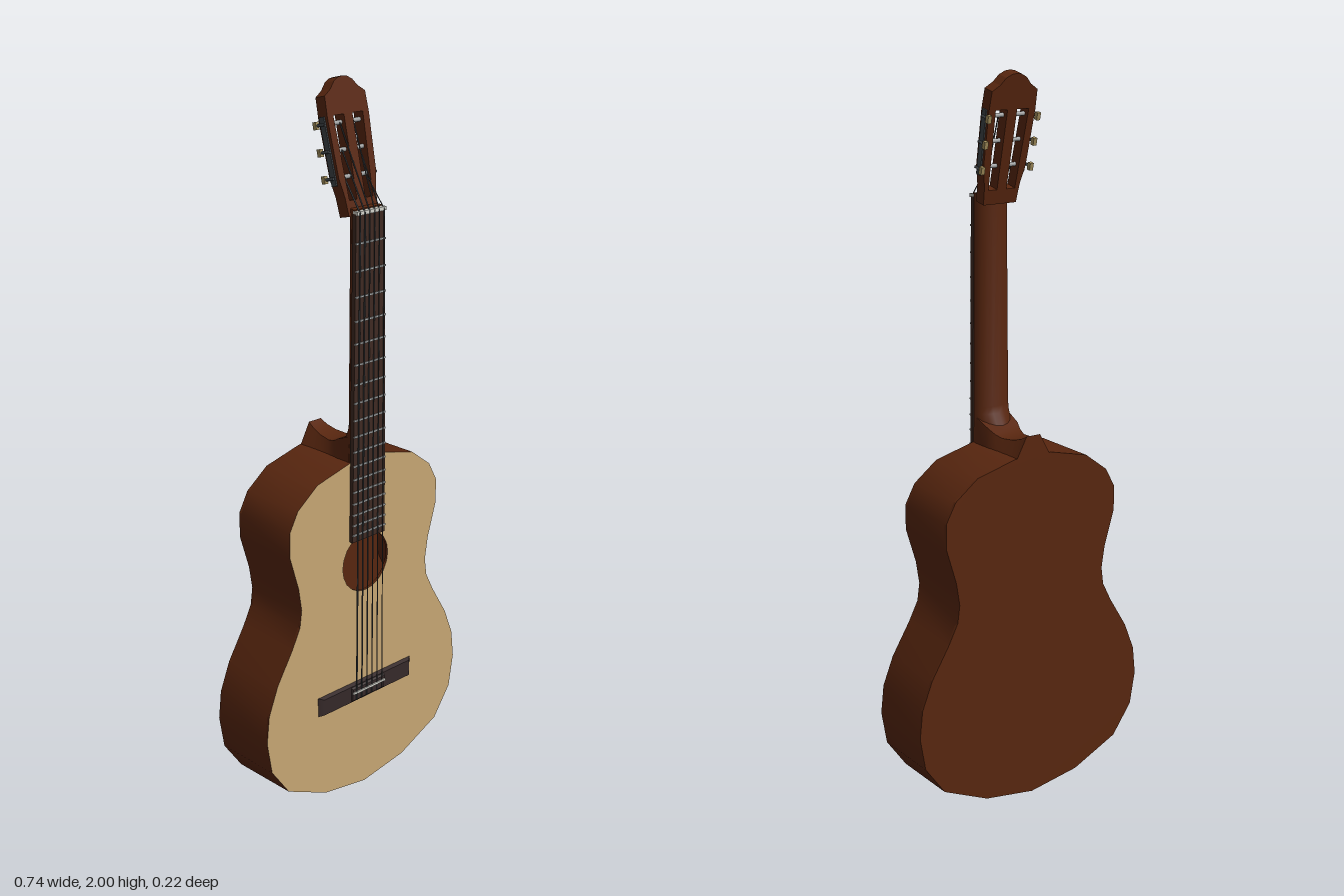
import * as THREE from 'three';
import { toCreasedNormals } from 'three/addons/utils/BufferGeometryUtils.js';

const mat = (name, color) => {
  const m = new THREE.MeshStandardMaterial({ color });
  m.name = name;
  return m;
};

// Skin a series of equal-length rings; caps are fans.
function loft(rings, capped = true) {
  const pos = [];
  const tri = (...pts) => pts.forEach((p) => pos.push(...p));
  const n = rings[0].length;
  for (let r = 0; r < rings.length - 1; r++) {
    const a = rings[r], b = rings[r + 1];
    for (let i = 0; i < n; i++) {
      const j = (i + 1) % n;
      tri(a[i], a[j], b[j]);
      tri(a[i], b[j], b[i]);
    }
  }
  if (capped) {
    const a = rings[0], b = rings[rings.length - 1];
    for (let i = 1; i < n - 1; i++) {
      tri(a[0], a[i + 1], a[i]);
      tri(b[0], b[i], b[i + 1]);
    }
  }
  const g = new THREE.BufferGeometry();
  g.setAttribute('position', new THREE.Float32BufferAttribute(pos, 3));
  g.computeVertexNormals();
  return toCreasedNormals(g, 0.75);
}

// Closed outline from its right half, bottom to top, mirrored in x.
const mirrored = (half) => [
  ...half,
  ...half.filter((p) => p[0] > 0).reverse().map(([x, y]) => [-x, y]),
];
const toShape = (pts) => new THREE.Shape(pts.map(([x, y]) => new THREE.Vector2(x, y)));
const slab = (shape, z0, z1) =>
  new THREE.ExtrudeGeometry(shape, { depth: z1 - z0, bevelEnabled: false, curveSegments: 10 }).translate(0, 0, z0);

export function createModel() {
  const root = new THREE.Group();
  const wood = mat('mahogany', 0x58260f);
  const inner = mat('mahogany sides', 0x58260f);
  inner.side = THREE.DoubleSide;
  const spruce = mat('pale spruce', 0xc6a673);
  const ebony = mat('ebony', 0x362a2a);
  const board = mat('rosewood', 0x3f2a22);
  const silver = mat('fret metal', 0xa4a6a6);
  const steel = mat('dark steel', 0x3f4448);
  const bone = mat('bone', 0xd4d4cc);
  const brass = mat('knob tan', 0xa48f5c);

  const add = (parent, name, geo, material, x = 0, y = 0, z = 0) => {
    const m = new THREE.Mesh(geo, material);
    m.name = name;
    m.position.set(x, y, z);
    parent.add(m);
    return m;
  };
  const box = (parent, name, w, h, d, material, x, y, z) =>
    add(parent, name, new THREE.BoxGeometry(w, h, d), material, x, y, z);
  const rod = (parent, name, a, b, radius, material, sides = 6) => {
    const dir = new THREE.Vector3().subVectors(b, a);
    const m = add(parent, name, new THREE.CylinderGeometry(radius, radius, dir.length(), sides), material);
    m.position.addVectors(a, b).multiplyScalar(0.5);
    m.quaternion.setFromUnitVectors(new THREE.Vector3(0, 1, 0), dir.normalize());
    return m;
  };
  const V = (x, y, z) => new THREE.Vector3(x, y, z);

  // Hollow body: back, sides and a soundboard with a round hole
  const outline = mirrored([
    [0, 0], [0.155, 0.025], [0.295, 0.09], [0.355, 0.175], [0.371, 0.27], [0.362, 0.35],
    [0.33, 0.43], [0.275, 0.52], [0.247, 0.575], [0.24, 0.625], [0.25, 0.69], [0.28, 0.79],
    [0.28, 0.86], [0.25, 0.915], [0.18, 0.968], [0.06, 0.998],
  ]);
  const body = new THREE.Group();
  body.name = 'body';
  root.add(body);
  add(body, 'back', slab(toShape(outline), -0.112, -0.104), wood);
  add(body, 'sides', loft([-0.112, 0.086].map((z) => outline.map(([x, y]) => [x, y, z])), false), inner);
  const top = toShape(outline);
  top.holes.push(new THREE.Path().absarc(0, 0.695, 0.087, 0, Math.PI * 2, true));
  add(body, 'soundboard', slab(top, 0.08, 0.088), [spruce, wood]);

  // Heel, a concave ridge running to the back
  const heel = [[-0.112, 1.055, 0.022], [-0.09, 1.043, 0.025], [-0.06, 1.034, 0.03], [-0.02, 1.03, 0.036],
    [0.005, 1.036, 0.042], [0.03, 1.05, 0.05], [0.08, 1.07, 0.054]];
  add(root, 'heel', loft(heel.map(([z, y, w]) =>
    [[-0.06, 0.985, z], [0.06, 0.985, z], [w, y, z], [-w, y, z]])), wood);

  // Neck with a rounded back
  const neck = [[0.99, 0.058, 0.08], [1.045, 0.057, 0.066], [1.08, 0.0565, 0.046], [1.1, 0.056, 0.041], [1.68, 0.051, 0.041]];
  add(root, 'neck', loft(neck.map(([y, w, d]) => Array.from({ length: 11 }, (_, i) => {
    const t = (i / 10) * Math.PI;
    return [w * Math.cos(t), y, 0.092 - d * Math.sin(t)];
  }))), wood);

  // Fretboard, frets and nut
  const halfWidth = (y) => 0.062 - ((y - 0.77) / 0.9) * 0.01;
  add(root, 'fretboard', slab(toShape([[-0.062, 0.77], [0.062, 0.77], [0.052, 1.67], [-0.052, 1.67]]), 0.087, 0.1), board);
  for (let n = 1; n <= 18; n++) {
    const y = 1.67 - 1.36 * (1 - 2 ** (-n / 12));
    box(root, 'fret', halfWidth(y) * 2, 0.005, 0.004, silver, 0, y, 0.101);
  }
  box(root, 'nut', 0.104, 0.01, 0.017, bone, 0, 1.672, 0.097);

  // Bridge with tie block and saddle
  const rect = (w, y0, y1, z) => [[-w, y0, z], [w, y0, z], [w, y1, z], [-w, y1, z]];
  add(root, 'bridge', loft([rect(0.183, 0.278, 0.336, 0.087), rect(0.168, 0.283, 0.331, 0.099)]), ebony);
  add(root, 'tieBlock', loft([rect(0.065, 0.283, 0.33, 0.097), rect(0.062, 0.289, 0.324, 0.104)]), ebony);
  box(root, 'saddle', 0.125, 0.006, 0.01, bone, 0, 0.312, 0.103);

  // Tilted headstock with two slots
  const head = new THREE.Group();
  head.name = 'headstock';
  head.position.set(0, 1.66, 0.075);
  head.rotation.x = -0.227;
  root.add(head);
  head.updateMatrix();
  const headShape = toShape(mirrored([
    [0, 0], [0.052, 0], [0.056, 0.05], [0.067, 0.1], [0.073, 0.25], [0.071, 0.305],
    [0.048, 0.32], [0.032, 0.338], [0.015, 0.347], [0, 0.349],
  ]));
  for (const s of [-1, 1]) {
    headShape.holes.push(new THREE.Path([[0.015, 0.04], [0.042, 0.04], [0.052, 0.255], [0.015, 0.255]]
      .map(([x, y]) => new THREE.Vector2(s * x, y))));
  }
  add(head, 'headPlate', slab(headShape, -0.034, 0), wood);

  // Tuning machines on both sides
  const rows = [0.1, 0.168, 0.236];
  for (const s of [-1, 1]) {
    const plate = box(head, 'tunerPlate', 0.004, 0.175, 0.018, steel, s * 0.072, 0.168, -0.018);
    plate.rotation.z = -s * 0.04;
    for (const y of rows) {
      rod(head, 'roller', V(s * 0.012, y, -0.016), V(s * 0.07, y, -0.016), 0.006, silver, 8);
      rod(head, 'tunerStem', V(s * 0.076, y, -0.01), V(s * 0.077, y, -0.04), 0.004, steel);
      box(head, 'tunerKnob', 0.011, 0.02, 0.012, brass, s * 0.077, y, -0.042);
    }
  }

  // Six strings from the bridge over the nut to the rollers
  for (let i = 0; i < 6; i++) {
    const k = (i - 2.5) / 2.5;
    const s = Math.sign(k);
    const order = i < 3 ? i : 5 - i;
    const nut = V(k * 0.043, 1.672, 0.106);
    const end = V(s * (0.038 - order * 0.007), rows[order], -0.01).applyMatrix4(head.matrix);
    const r = 0.0024 - i * 0.0002;
    rod(root, 'string', V(k * 0.05, 0.29, 0.106), nut, r, steel, 5);
    rod(root, 'stringEnd', nut, end, r, steel, 5);
  }
  return root;
}
